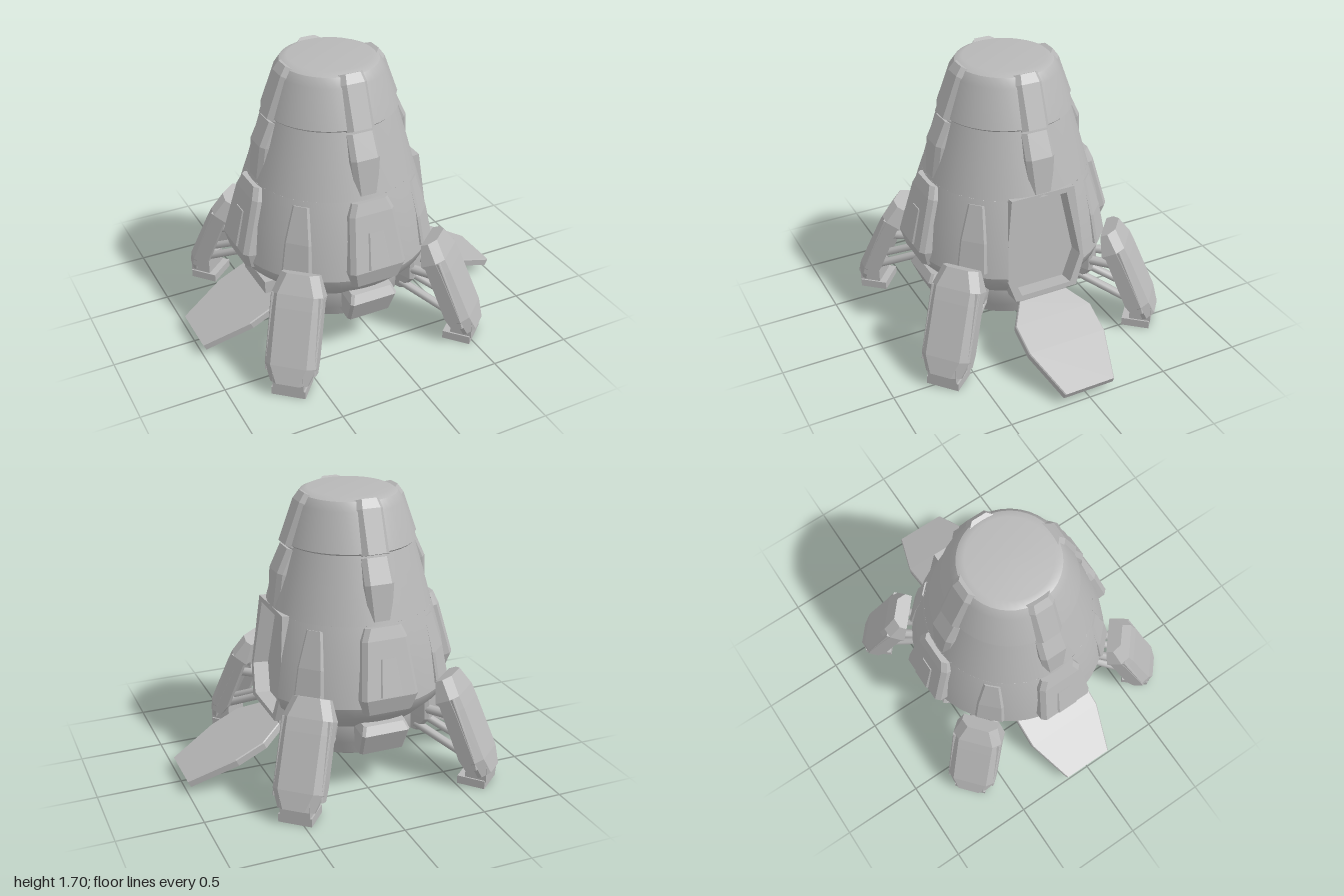
import * as THREE from 'three';

const hullGrey = new THREE.MeshStandardMaterial({ color: 0xb8b8b8, side: THREE.DoubleSide });
hullGrey.name = 'hullGrey';

function add(parent, geometry, name) {
  const mesh = new THREE.Mesh(geometry, hullGrey);
  mesh.name = name;
  parent.add(mesh);
  return mesh;
}

// Chamfered plate running down and outward through [radius, y, halfWidth, depth] sections
function plate(sections, chamfer) {
  const first = sections[0], last = sections[sections.length - 1];
  const n = new THREE.Vector2(first[1] - last[1], last[0] - first[0]).normalize(); // (z, y)
  const rings = sections.map(([r, y, w, d]) =>
    [[-w, d], [-w, chamfer], [chamfer - w, 0], [w - chamfer, 0], [w, chamfer], [w, d]]
      .map(([x, k]) => [x, y - n.y * k, r - n.x * k]));
  const pos = [];
  const tri = (...pts) => pts.forEach(p => pos.push(...p));
  for (let i = 0; i < rings.length - 1; i++) {
    for (let k = 0; k < 6; k++) {
      const a = rings[i][k], b = rings[i + 1][k];
      const c = rings[i + 1][(k + 1) % 6], d = rings[i][(k + 1) % 6];
      tri(a, b, c);
      tri(a, c, d);
    }
  }
  const top = rings[0], bottom = rings[rings.length - 1];
  for (let k = 1; k < 5; k++) {
    tri(top[0], top[k], top[k + 1]);
    tri(bottom[0], bottom[k + 1], bottom[k]);
  }
  const g = new THREE.BufferGeometry();
  g.setAttribute('position', new THREE.Float32BufferAttribute(pos, 3));
  g.computeVertexNormals();
  return g;
}

function lathe(points, start = 0, length = Math.PI * 2) {
  return new THREE.LatheGeometry(points.map(p => new THREE.Vector2(...p)), 40, start, length);
}

function strut(from, to, radius) {
  const a = new THREE.Vector3(...from), b = new THREE.Vector3(...to);
  const g = new THREE.CylinderGeometry(radius, radius, a.distanceTo(b), 8);
  const dir = b.clone().sub(a).normalize();
  g.applyQuaternion(new THREE.Quaternion().setFromUnitVectors(new THREE.Vector3(0, 1, 0), dir));
  const mid = a.add(b).multiplyScalar(0.5);
  return g.translate(mid.x, mid.y, mid.z);
}

// Group facing outward at an angle around the hull; its +z is the outward direction
function facing(parent, degrees, name) {
  const g = new THREE.Group();
  g.name = name;
  g.rotation.y = THREE.MathUtils.degToRad(degrees);
  parent.add(g);
  return g;
}

function polygon(points, Type) {
  return new Type(points.map(p => new THREE.Vector2(...p)));
}

export function createModel() {
  const model = new THREE.Group();
  model.name = 'landerCapsule';
  const body = new THREE.Group();
  body.name = 'body';
  body.position.x = -0.08;
  model.add(body);

  // Hull, open on one side for the doorway
  const gap = THREE.MathUtils.degToRad(24.5);
  const start = Math.PI / 2 + gap, sweep = Math.PI * 2 - gap * 2;
  add(body, lathe([[0.495, 1.02], [0.445, 1.2], [0.385, 1.4]]), 'upperHull');
  add(body, lathe([[0.395, 1.41], [0.32, 1.63], [0.285, 1.68]]), 'noseCone');
  add(body, lathe([[0.385, 1.4], [0.395, 1.41]]), 'noseLip');
  add(body, lathe([[0.285, 1.68], [0.24, 1.7], [0, 1.7]]), 'noseCap');
  add(body, lathe([[0.6, 0.56], [0.56, 0.8], [0.495, 1.02]], start, sweep), 'lowerHull');
  add(body, lathe([[0.47, 0.39], [0.575, 0.49], [0.6, 0.56]], start, sweep), 'hullSkirt');

  // Underside collar, base ring and engine
  add(body, lathe([[0.42, 0.26], [0.46, 0.28], [0.47, 0.39]]), 'collar');
  add(body, lathe([[0.36, 0.16], [0.39, 0.18], [0.4, 0.26], [0.42, 0.26]]), 'baseRing');
  add(body, lathe([[0, 0.24], [0.23, 0.24], [0.28, 0.16], [0.36, 0.16]]), 'engineWell');
  add(body, lathe([[0.13, 0.23], [0.12, 0.18], [0.16, 0.16], [0.2, 0.17], [0.21, 0.24]]), 'nozzle');
  add(body, new THREE.SphereGeometry(0.09, 16, 10), 'engineCore').position.y = 0.235;

  // Ribs and raised panels on the four sides
  for (const angle of [0, 90, 180, 270]) {
    const side = facing(body, angle, 'hullSide');
    add(side, plate([[0.29, 1.698, 0.075, 0.06], [0.325, 1.65, 0.085, 0.06],
      [0.415, 1.41, 0.085, 0.06]], 0.03), 'noseRib');
    add(side, plate([[0.405, 1.39, 0.085, 0.06], [0.47, 1.25, 0.09, 0.06],
      [0.49, 1.04, 0.07, 0.03]], 0.025), 'upperRib');
    if (angle === 90) continue;
    add(side, plate([[0.525, 1.02, 0.11, 0.06], [0.55, 0.95, 0.14, 0.08],
      [0.635, 0.63, 0.175, 0.1], [0.61, 0.53, 0.15, 0.08]], 0.025), 'sidePanel');
    add(side, plate([[0.583, 0.85, 0.05, 0.03], [0.642, 0.64, 0.07, 0.03]], 0.01), 'sideHatch');
  }

  // Slim raised panels above the legs
  for (const angle of [45, 135, 225, 315]) {
    add(facing(body, angle, 'hullCorner'), plate([[0.512, 0.99, 0.05, 0.04],
      [0.575, 0.78, 0.08, 0.05], [0.61, 0.6, 0.09, 0.05]], 0.012), 'cornerPanel');
  }

  // Doorway frame with a shallow inner wall
  const doorway = facing(body, 90, 'doorway');
  const outline = polygon([[-0.2, 0], [0.2, 0], [0.26, 0.18], [0.2, 0.65], [-0.2, 0.65], [-0.26, 0.18]], THREE.Shape);
  const innerWall = new THREE.ShapeGeometry(outline.clone());
  outline.holes.push(polygon([[-0.16, 0.03], [-0.23, 0.2], [-0.15, 0.62], [0.15, 0.62], [0.23, 0.2], [0.16, 0.03]], THREE.Path));
  const frame = add(doorway, new THREE.ExtrudeGeometry(outline, { depth: 0.1, bevelEnabled: false }), 'doorFrame');
  const wall = add(doorway, innerWall, 'innerWall');
  frame.position.set(0, 0.38, 0.45);
  wall.position.set(0, 0.38, 0.455);
  frame.rotation.x = wall.rotation.x = -0.09;

  // Ramps on both flanks, with their hinge blocks
  for (const [angle, shift] of [[90, 0.08], [270, -0.08]]) {
    const side = facing(body, angle, 'rampSide');
    const outlineRows = [[0.43, 0.35, 0.16], [0.56, 0.29, 0.25], [0.73, 0.21, 0.25], [1, 0.08, 0.16]];
    add(side, plate(outlineRows.map(([r, y, w]) => [r + shift, y, w, 0.045]), 0.006), 'ramp');
    add(side, new THREE.BoxGeometry(0.32, 0.08, 0.16), 'rampHinge').position.set(0, 0.36, 0.43);
  }

  // Equipment boxes at front and back
  for (const angle of [0, 180]) {
    add(facing(body, angle, 'boxMount'), plate([[0.55, 0.43, 0.13, 0.16],
      [0.58, 0.38, 0.15, 0.18], [0.52, 0.24, 0.14, 0.14]], 0.015), 'equipmentBox');
  }

  // Landing legs: channel-shaped armour, hip block, struts and foot
  for (const angle of [41, 139, 221, 319]) {
    const leg = facing(body, angle, 'landingLeg');
    add(leg, plate([[0.7, 0.67, 0.11, 0.09], [0.765, 0.57, 0.15, 0.14],
      [0.8, 0.5, 0.15, 0.08], [0.935, 0.2, 0.15, 0.07], [0.97, 0.1, 0.11, 0.07]], 0.045), 'legArmor');
    for (const s of [-1, 1]) {
      add(leg, plate([[0.745, 0.56, 0.02, 0.1], [0.89, 0.21, 0.02, 0.1],
        [0.91, 0.14, 0.02, 0.07]], 0.005), 'legFlange').position.x = s * 0.128;
      add(leg, strut([s * 0.06, 0.43, 0.5], [s * 0.08, 0.42, 0.76], 0.028), 'upperStrut');
      add(leg, strut([s * 0.06, 0.32, 0.48], [s * 0.07, 0.16, 0.86], 0.025), 'lowerStrut');
    }
    add(leg, plate([[0.57, 0.5, 0.1, 0.16], [0.57, 0.36, 0.09, 0.16],
      [0.5, 0.27, 0.07, 0.1]], 0.02), 'hipBlock');
    add(leg, new THREE.BoxGeometry(0.2, 0.05, 0.17), 'footPad').position.set(0, 0.025, 0.86);
    add(leg, new THREE.BoxGeometry(0.18, 0.11, 0.13), 'ankle').position.set(0, 0.095, 0.885);
  }
  return model;
}
